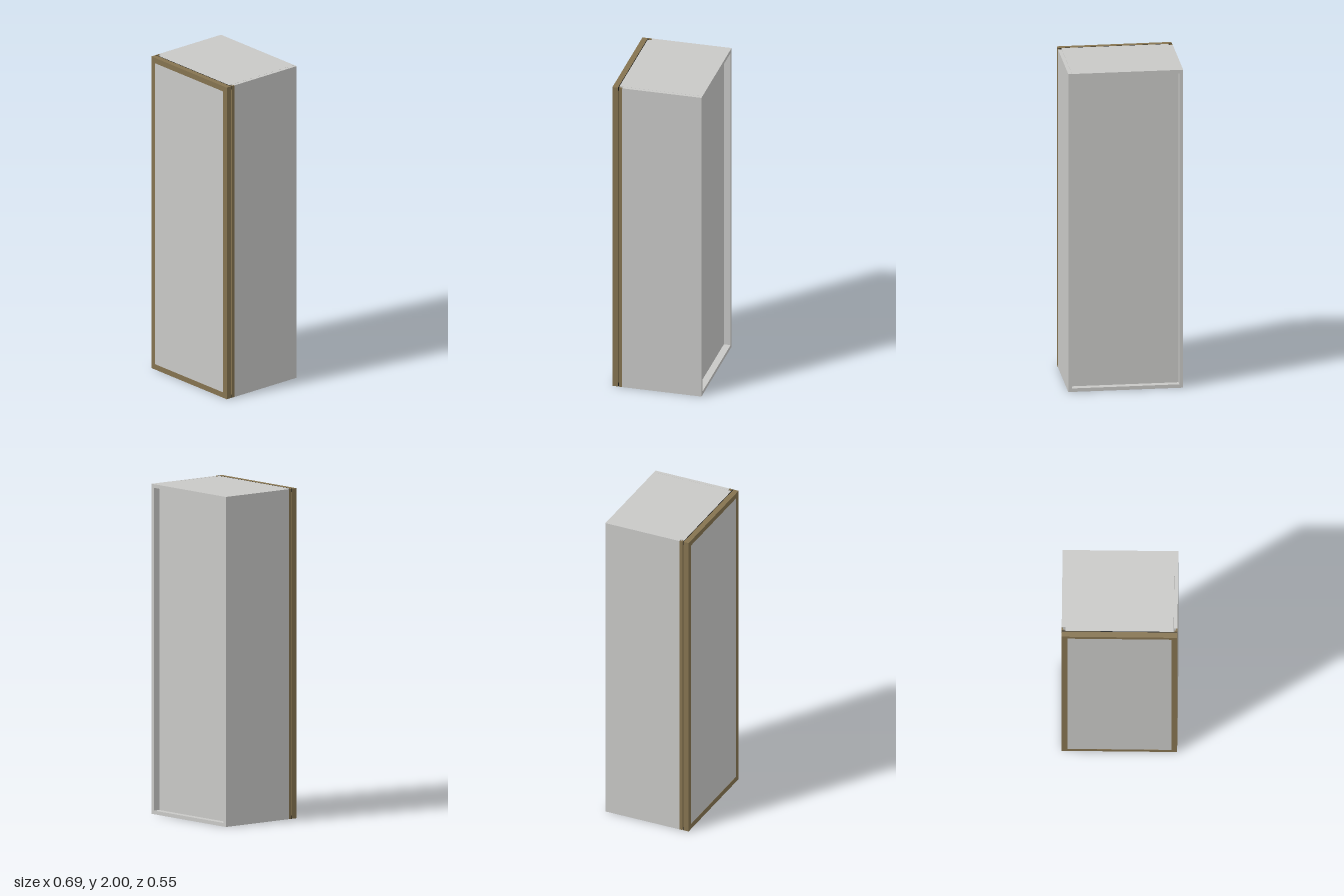
import * as THREE from 'three';

export function createModel() {
  const grey = new THREE.MeshStandardMaterial({ color: 0xc8c8c6 });
  grey.name = 'light grey board';
  const bronze = new THREE.MeshStandardMaterial({ color: 0x857350 });
  bronze.name = 'bronze metal';
  const black = new THREE.MeshStandardMaterial({ color: 0x1c1c1a });
  black.name = 'black gasket';

  const W = 0.347, H = 2, T = 0.022, BACK = -0.277, FRONT = 0.276;
  const SIDE_FRONT = 0.215, DECK_FRONT = 0.238, DOOR_BACK = 0.242;
  const group = new THREE.Group();
  group.name = 'tallCabinet';

  const add = (parent, name, geometry, material) => {
    const mesh = new THREE.Mesh(geometry, material);
    mesh.name = name;
    parent.add(mesh);
    return mesh;
  };
  // Box given by its lower and upper limits on each axis
  const box = (parent, name, material, x0, x1, y0, y1, z0, z1) => {
    const mesh = add(parent, name, new THREE.BoxGeometry(x1 - x0, y1 - y0, z1 - z0), material);
    mesh.position.set((x0 + x1) / 2, (y0 + y1) / 2, (z0 + z1) / 2);
    return mesh;
  };
  const polygon = (points) => new THREE.Shape(points.map(([x, y]) => new THREE.Vector2(x, y)));
  const extrude = (points, depth) =>
    new THREE.ExtrudeGeometry(polygon(points), { depth, bevelEnabled: false });

  // Carcass: side boards, decks set between them, recessed back
  const carcass = new THREE.Group();
  carcass.name = 'carcass';
  group.add(carcass);
  const inner = W - T - 0.001;
  box(carcass, 'rightSide', grey, -W, -inner, 0, H, BACK, SIDE_FRONT);
  box(carcass, 'leftSide', grey, W - T, W, 0, H, BACK, SIDE_FRONT);
  box(carcass, 'bottomDeck', grey, -inner, inner, 0, T, BACK, DECK_FRONT);
  box(carcass, 'topDeck', grey, -inner, inner, H - T, H, BACK, DECK_FRONT);
  box(carcass, 'backPanel', grey, -inner, inner, T, H - T, -0.235, -0.225);

  // Front posts and L-shaped grip profiles in the corner notches
  for (const [label, s] of [['right', -1], ['left', 1]]) {
    const a = s * inner, b = s * (inner - T);
    box(carcass, label + 'FrontPost', grey, Math.min(a, b), Math.max(a, b), T, H - T, 0.18, DECK_FRONT);
    const section = [
      [W, 0.216], [W, 0.235], [W - 0.018, 0.235],
      [W - 0.018, 0.229], [W - 0.008, 0.229], [W - 0.008, 0.216],
    ].map(([x, z]) => [s * x, -z]);
    const profile = add(group, label + 'GripProfile', extrude(section, H), bronze);
    profile.rotation.x = -Math.PI / 2;
  }

  // Door: mitred frame around a flat panel
  const door = new THREE.Group();
  door.name = 'door';
  group.add(door);
  const dw = W - 0.001, rail = 0.034;
  const outer = [[-dw, 0], [dw, 0], [dw, H], [-dw, H]];
  const opening = [[rail - dw, rail], [dw - rail, rail], [dw - rail, H - rail], [rail - dw, H - rail]];
  ['bottomRail', 'leftStile', 'topRail', 'rightStile'].forEach((name, i) => {
    const j = (i + 1) % 4;
    const piece = extrude([outer[i], outer[j], opening[j], opening[i]], FRONT - DOOR_BACK);
    add(door, name, piece, bronze).position.z = DOOR_BACK;
  });
  box(door, 'doorPanel', grey, rail - dw, dw - rail, rail, H - rail, DOOR_BACK, FRONT - 0.001);

  // Gasket strips between carcass and door
  box(door, 'bottomGasket', black, -dw, dw, 0, 0.02, DECK_FRONT, DOOR_BACK);
  box(door, 'topGasket', black, -dw, dw, H - 0.02, H, DECK_FRONT, DOOR_BACK);

  return group;
}
